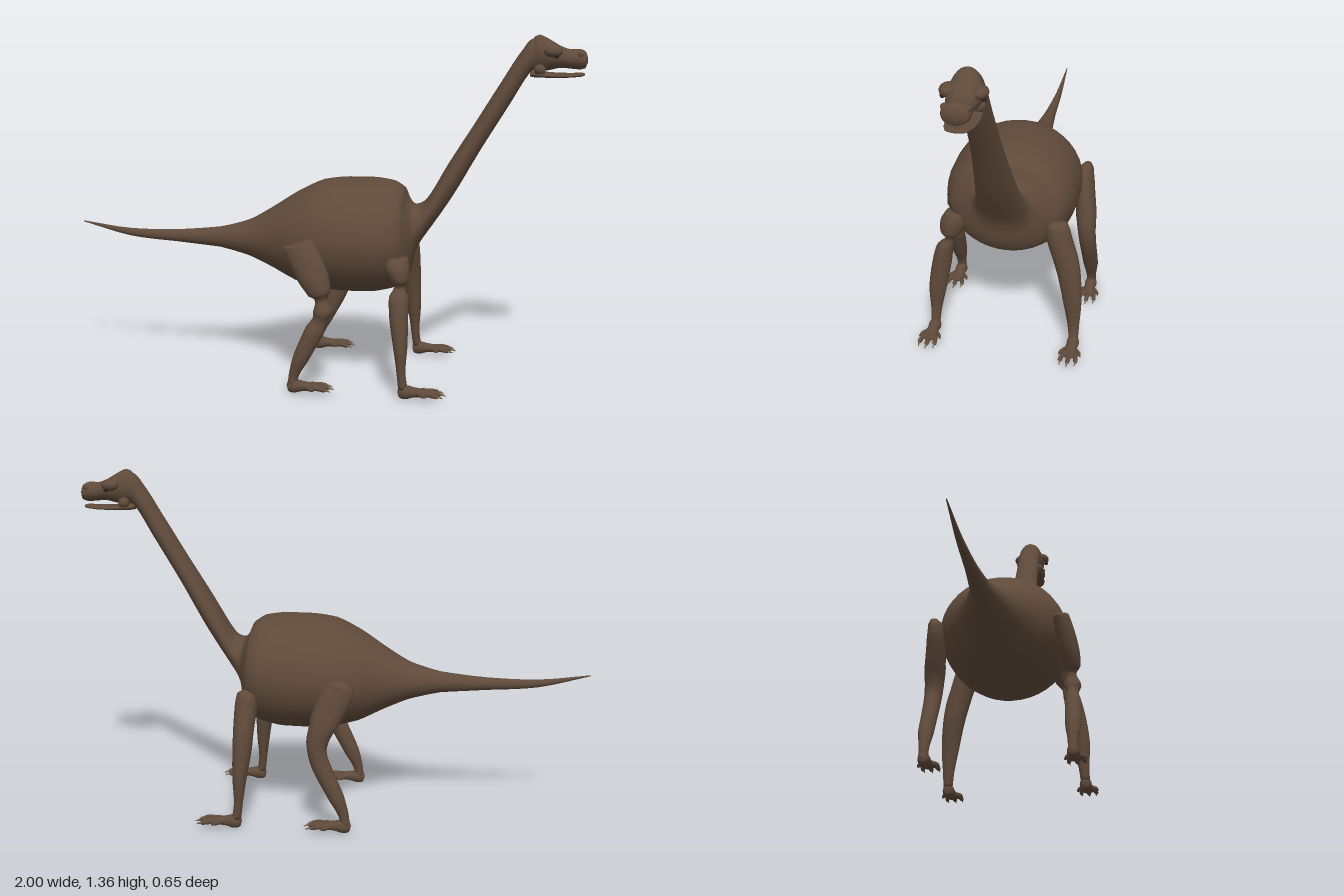
import * as THREE from 'three';

const skin = new THREE.MeshStandardMaterial({ color: 0x5f4a3a });
skin.name = 'brown skin';
const claw = new THREE.MeshStandardMaterial({ color: 0x7a6a55 });
claw.name = 'claw tan';
const eyeDark = new THREE.MeshStandardMaterial({ color: 0x2e241c });
eyeDark.name = 'eye dark';

const UP = Math.PI / 2;

// Smooth closed loft. Row: [x, y, z, radius in xy plane, half width in z, angle of that radius].
function loft(rows, sides = 24, steps = 4) {
  const centre = new THREE.CatmullRomCurve3(rows.map(r => new THREE.Vector3(r[0], r[1], r[2])));
  const shape = new THREE.CatmullRomCurve3(rows.map(r => new THREE.Vector3(r[3], r[4], r[5] ?? 0)));
  const n = (rows.length - 1) * steps;
  const pos = [], index = [];
  for (let i = 0; i <= n; i++) {
    const c = centre.getPoint(i / n), s = shape.getPoint(i / n);
    for (let j = 0; j < sides; j++) {
      const a = j / sides * Math.PI * 2, u = Math.cos(a) * Math.max(s.x, 0.0005);
      pos.push(c.x + u * Math.cos(s.z), c.y + u * Math.sin(s.z),
        c.z + Math.sin(a) * Math.max(s.y, 0.0005));
    }
  }
  for (let i = 0; i < n; i++) for (let j = 0; j < sides; j++) {
    const a = i * sides + j, b = i * sides + (j + 1) % sides;
    index.push(a, b, a + sides, b, b + sides, a + sides);
  }
  // end caps
  [0, n].forEach(i => {
    const c = centre.getPoint(i / n), k = pos.length / 3;
    pos.push(c.x, c.y, c.z);
    for (let j = 0; j < sides; j++) {
      const a = i * sides + j, b = i * sides + (j + 1) % sides;
      if (i) index.push(k, a, b); else index.push(k, b, a);
    }
  });
  const g = new THREE.BufferGeometry();
  g.setAttribute('position', new THREE.Float32BufferAttribute(pos, 3));
  g.setIndex(index);
  g.computeVertexNormals();
  return g;
}

// Row from a top point, a bottom point and a half width.
const span = ([tx, ty, bx, by, w]) =>
  [(tx + bx) / 2, (ty + by) / 2, 0, Math.hypot(tx - bx, ty - by) / 2, w, Math.atan2(ty - by, tx - bx)];

function add(parent, name, geometry, material = skin) {
  const m = new THREE.Mesh(geometry, material);
  m.name = name;
  parent.add(m);
  return m;
}

// Foot with the ankle above the local origin, toes towards +x
function makeFoot(name, x, z) {
  const foot = new THREE.Group();
  foot.name = name;
  foot.position.set(x, 0, z);
  add(foot, 'sole', loft([
    [-0.022, 0.032, 0, 0.004, 0.004, UP], [-0.016, 0.028, 0, 0.02, 0.016, UP],
    [0.008, 0.029, 0, 0.027, 0.024, UP], [0.04, 0.03, 0, 0.019, 0.022, UP],
    [0.075, 0.029, 0, 0.014, 0.026, UP], [0.1, 0.028, 0, 0.01, 0.024, UP], [0.11, 0.027, 0, 0.002, 0.01, UP],
  ], 16, 3));
  for (const s of [-1, 0, 1]) {
    const reach = s ? 0.128 : 0.138;
    add(foot, 'toe', loft([
      [0.07, 0.03, s * 0.016, 0.01, 0.01, UP], [0.1, 0.031, s * 0.025, 0.01, 0.009, UP],
      [reach, 0.027, s * 0.03, 0.008, 0.008, UP], [reach + 0.006, 0.026, s * 0.03, 0.002, 0.002, UP],
    ], 10, 3));
    add(foot, 'claw', loft([
      [reach, 0.027, s * 0.03, 0.005, 0.005, UP], [reach + 0.012, 0.026, s * 0.03, 0.004, 0.003, UP],
      [reach + 0.024, 0.021, s * 0.028, 0.001, 0.001, UP],
    ], 8, 2), claw);
  }
  // small side toes
  for (const s of [-1, 1]) add(foot, 'sideToe', loft([
    [0.05, 0.03, s * 0.014, 0.009, 0.009, UP], [0.075, 0.029, s * 0.033, 0.009, 0.008, UP],
    [0.09, 0.026, s * 0.041, 0.003, 0.003, UP],
  ], 10, 3));
  return foot;
}

export function createModel() {
  const model = new THREE.Group();
  model.name = 'longNeckedDinosaur';

  // Tail, trunk and neck in one skin
  add(model, 'tailTrunkNeck', loft([
    [-1, 0.587, -1, 0.583, 0.002], [-0.8, 0.563, -0.8, 0.532, 0.012], [-0.6, 0.565, -0.6, 0.515, 0.022],
    [-0.42, 0.583, -0.42, 0.5, 0.04], [-0.3, 0.617, -0.3, 0.472, 0.08], [-0.2, 0.675, -0.2, 0.43, 0.135],
    [-0.1, 0.74, -0.1, 0.382, 0.2], [0, 0.787, 0, 0.357, 0.242], [0.1, 0.8, 0.1, 0.35, 0.254],
    [0.2, 0.801, 0.2, 0.352, 0.252], [0.28, 0.79, 0.28, 0.368, 0.236], [0.32, 0.765, 0.325, 0.39, 0.21],
    [0.337, 0.727, 0.352, 0.44, 0.165], [0.36, 0.703, 0.365, 0.5, 0.118], [0.405, 0.72, 0.39, 0.56, 0.094],
    [0.49, 0.865, 0.5, 0.725, 0.072], [0.585, 1.02, 0.61, 0.92, 0.057], [0.69, 1.195, 0.72, 1.105, 0.05],
    [0.755, 1.3, 0.785, 1.215, 0.048], [0.79, 1.345, 0.815, 1.235, 0.047], [0.83, 1.35, 0.84, 1.25, 0.035],
  ].map(span), 40));

  // Head
  const head = new THREE.Group();
  head.name = 'head';
  model.add(head);
  add(head, 'skull', loft([
    [0.785, 1.325, 0.79, 1.25, 0.03], [0.805, 1.356, 0.81, 1.23, 0.047], [0.83, 1.36, 0.83, 1.226, 0.054],
    [0.865, 1.342, 0.865, 1.232, 0.06], [0.9, 1.322, 0.9, 1.24, 0.053], [0.935, 1.31, 0.935, 1.238, 0.046],
    [0.97, 1.311, 0.97, 1.235, 0.049], [0.992, 1.302, 0.992, 1.24, 0.043], [1, 1.28, 1, 1.26, 0.015],
  ].map(span), 28));
  add(head, 'lowerJaw', loft([
    [0.79, 1.224, 0.79, 1.206, 0.03], [0.82, 1.227, 0.82, 1.203, 0.05], [0.88, 1.222, 0.88, 1.203, 0.054],
    [0.94, 1.221, 0.94, 1.205, 0.049], [0.98, 1.223, 0.98, 1.209, 0.035], [0.992, 1.22, 0.992, 1.214, 0.01],
  ].map(span), 24));
  for (const s of [-1, 1]) {
    const brow = add(head, 'brow', new THREE.SphereGeometry(0.028, 20, 14));
    brow.position.set(0.872, 1.304, s * 0.052);
    brow.scale.set(1.25, 0.8, 1);
    const cheek = add(head, 'jawHinge', new THREE.SphereGeometry(0.022, 16, 12));
    cheek.position.set(0.825, 1.235, s * 0.036);
    const eye = add(head, 'eye', new THREE.SphereGeometry(0.009, 14, 10), eyeDark);
    eye.position.set(0.885, 1.288, s * 0.066);
    const nostril = add(head, 'nostrilRidge', new THREE.SphereGeometry(0.012, 12, 10));
    nostril.position.set(0.972, 1.292, s * 0.037);
  }

  // Jointed legs on the +z side
  add(model, 'rightRearLeg', loft([
    [-0.058, 0.583, 0.245, 0.057, 0.03, 0.3], [-0.035, 0.54, 0.252, 0.062, 0.037, 0.3],
    [0.005, 0.46, 0.264, 0.06, 0.042, 0.32], [0.032, 0.4, 0.27, 0.045, 0.036, 0.3],
    [0.038, 0.37, 0.268, 0.024, 0.02, 0.1], [0.045, 0.332, 0.272, 0.036, 0.033, 0],
    [0.032, 0.292, 0.272, 0.028, 0.024, -0.3], [0.01, 0.245, 0.276, 0.036, 0.032, -0.45],
    [-0.038, 0.145, 0.28, 0.031, 0.031, -0.4], [-0.066, 0.075, 0.28, 0.02, 0.02, -0.2],
    [-0.072, 0.035, 0.28, 0.019, 0.019, 0],
  ]));
  add(model, 'rightFrontLeg', loft([
    [0.315, 0.532, 0.195, 0.042, 0.038], [0.318, 0.495, 0.203, 0.048, 0.05], [0.328, 0.45, 0.212, 0.036, 0.04],
    [0.33, 0.42, 0.215, 0.021, 0.018], [0.329, 0.385, 0.235, 0.037, 0.033], [0.332, 0.31, 0.25, 0.036, 0.038],
    [0.341, 0.2, 0.267, 0.027, 0.035], [0.346, 0.1, 0.275, 0.017, 0.022], [0.354, 0.04, 0.278, 0.018, 0.018],
  ]));

  // Smooth legs on the -z side
  add(model, 'leftRearLeg', loft([
    [-0.062, 0.6, -0.255, 0.015, 0.012, 0.3], [-0.052, 0.58, -0.25, 0.05, 0.028, 0.3],
    [-0.03, 0.53, -0.25, 0.062, 0.037, 0.3], [0.01, 0.44, -0.262, 0.056, 0.04, 0.3],
    [0.037, 0.36, -0.27, 0.042, 0.037, 0.1], [0.032, 0.3, -0.274, 0.036, 0.034, -0.3],
    [0.008, 0.24, -0.277, 0.035, 0.032, -0.45], [-0.038, 0.145, -0.28, 0.03, 0.03, -0.4],
    [-0.066, 0.075, -0.28, 0.02, 0.02, -0.2], [-0.072, 0.035, -0.28, 0.019, 0.019, 0],
  ]));
  add(model, 'leftFrontLeg', loft([
    [0.318, 0.54, -0.195, 0.015, 0.015], [0.318, 0.525, -0.2, 0.04, 0.042], [0.322, 0.47, -0.21, 0.044, 0.05],
    [0.328, 0.39, -0.235, 0.04, 0.05], [0.332, 0.31, -0.253, 0.037, 0.045], [0.341, 0.2, -0.268, 0.027, 0.036],
    [0.346, 0.1, -0.275, 0.017, 0.023], [0.354, 0.04, -0.278, 0.018, 0.018],
  ]));

  // Feet
  for (const [side, s] of [['right', 1], ['left', -1]]) {
    model.add(makeFoot(side + 'RearFoot', -0.072, s * 0.28));
    model.add(makeFoot(side + 'FrontFoot', 0.356, s * 0.278));
  }
  return model;
}
